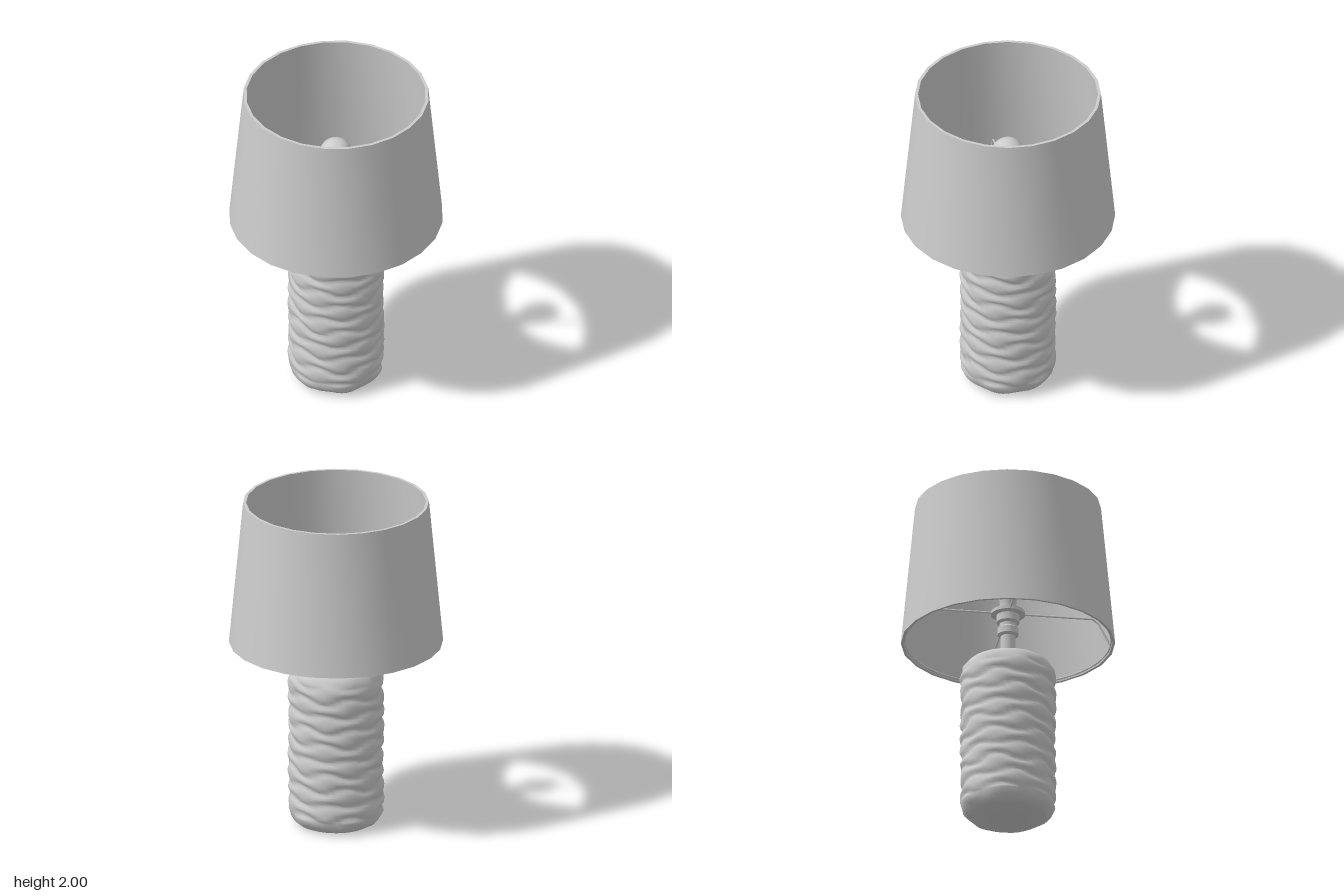
import * as THREE from 'three';
import { mergeVertices, toCreasedNormals } from 'three/addons/utils/BufferGeometryUtils.js';

const grey = new THREE.MeshStandardMaterial({ color: 0xcccccc });
grey.name = 'lampGrey';

const v2 = (list) => list.map(([r, y]) => new THREE.Vector2(r, y));

function add(parent, name, geometry) {
  const mesh = new THREE.Mesh(geometry, grey);
  mesh.name = name;
  parent.add(mesh);
  return mesh;
}

const turned = (list, sides, crease = 0.6) =>
  toCreasedNormals(new THREE.LatheGeometry(v2(list), sides), crease);

// Hammered body: a rounded cylinder whose side carries staggered wavy dents
function bodyGeometry() {
  const profile = [[0, 0], [0.12, 0], [0.21, 0.002], [0.245, 0.015], [0.265, 0.04]];
  for (let i = 0; i <= 60; i++) profile.push([0.284, 0.075 + (i / 60) * 0.85]);
  profile.push([0.275, 0.95], [0.25, 0.98], [0.22, 0.997], [0.13, 1.003], [0.04, 1.003], [0, 1.003]);
  const geometry = new THREE.LatheGeometry(v2(profile), 48);
  const p = geometry.attributes.position;
  const pitch = 0.093;
  for (let i = 0; i < p.count; i++) {
    const x = p.getX(i), y = p.getY(i), z = p.getZ(i);
    const r = Math.hypot(x, z);
    if (r < 0.23) continue;
    const a = Math.atan2(x, z);
    const wave = y / pitch + 0.2 * Math.cos(6 * a) * Math.cos(Math.PI * y / pitch)
      + 0.1 * Math.sin(5 * a + 9 * y);
    const groove = 1 - Math.abs(Math.sin(Math.PI * wave));
    const drift = 0.004 * Math.sin(7 * a + 13 * y);
    const k = (r - 0.017 * groove - 0.002 + Math.min(drift, 0.002)) / r;
    p.setXYZ(i, x * k, y, z * k);
  }
  geometry.deleteAttribute('uv');
  geometry.deleteAttribute('normal');
  const smooth = mergeVertices(geometry, 1e-4);
  smooth.computeVertexNormals();
  return smooth;
}

export function createModel() {
  const lamp = new THREE.Group();
  lamp.name = 'tableLamp';

  add(lamp, 'hammeredBody', bodyGeometry());

  // Tapered shade, open at both ends, with a thin wall
  add(lamp, 'shade', turned([
    [0.628, 1.13], [0.545, 2], [0.527, 2], [0.612, 1.13], [0.628, 1.13],
  ], 24));

  // Stem and stepped socket
  add(lamp, 'stemAndSocket', turned([
    [0.043, 1], [0.043, 1.17], [0.062, 1.18], [0.062, 1.22], [0.05, 1.23],
    [0.05, 1.25], [0.068, 1.26], [0.068, 1.305], [0.1, 1.31], [0.1, 1.33],
    [0.05, 1.335], [0.05, 1.37], [0, 1.37],
  ], 24));

  // Bulb: narrow neck swelling into a round globe
  const bulb = [[0.045, 1.35], [0.05, 1.4], [0.063, 1.46], [0.08, 1.52]];
  for (let i = 0; i <= 10; i++) {
    const t = -0.3 + (i / 10) * (Math.PI / 2 + 0.3);
    bulb.push([Math.max(0, 0.098 * Math.cos(t)), 1.575 + 0.098 * Math.sin(t)]);
  }
  add(lamp, 'bulb', turned(bulb, 28, 0.9));

  // Four bent wires carry the shade from the socket collar
  const frame = new THREE.Group();
  frame.name = 'shadeFrame';
  lamp.add(frame);
  const path = new THREE.CurvePath();
  const points = [[0.09, 1.32], [0.5, 1.32], [0.535, 1.295], [0.61, 1.15]]
    .map(([x, y]) => new THREE.Vector3(x, y, 0));
  for (let i = 0; i < 3; i++) path.add(new THREE.LineCurve3(points[i], points[i + 1]));
  const wire = new THREE.TubeGeometry(path, 24, 0.006, 6, false);
  for (let i = 0; i < 4; i++) {
    add(frame, 'frameWire', wire).rotation.y = -0.1 + i * Math.PI / 2;
  }

  // Wire ring inside the lower rim
  const ring = add(frame, 'lowerRing', new THREE.TorusGeometry(0.606, 0.006, 6, 48));
  ring.rotation.x = Math.PI / 2;
  ring.position.y = 1.145;

  return lamp;
}
